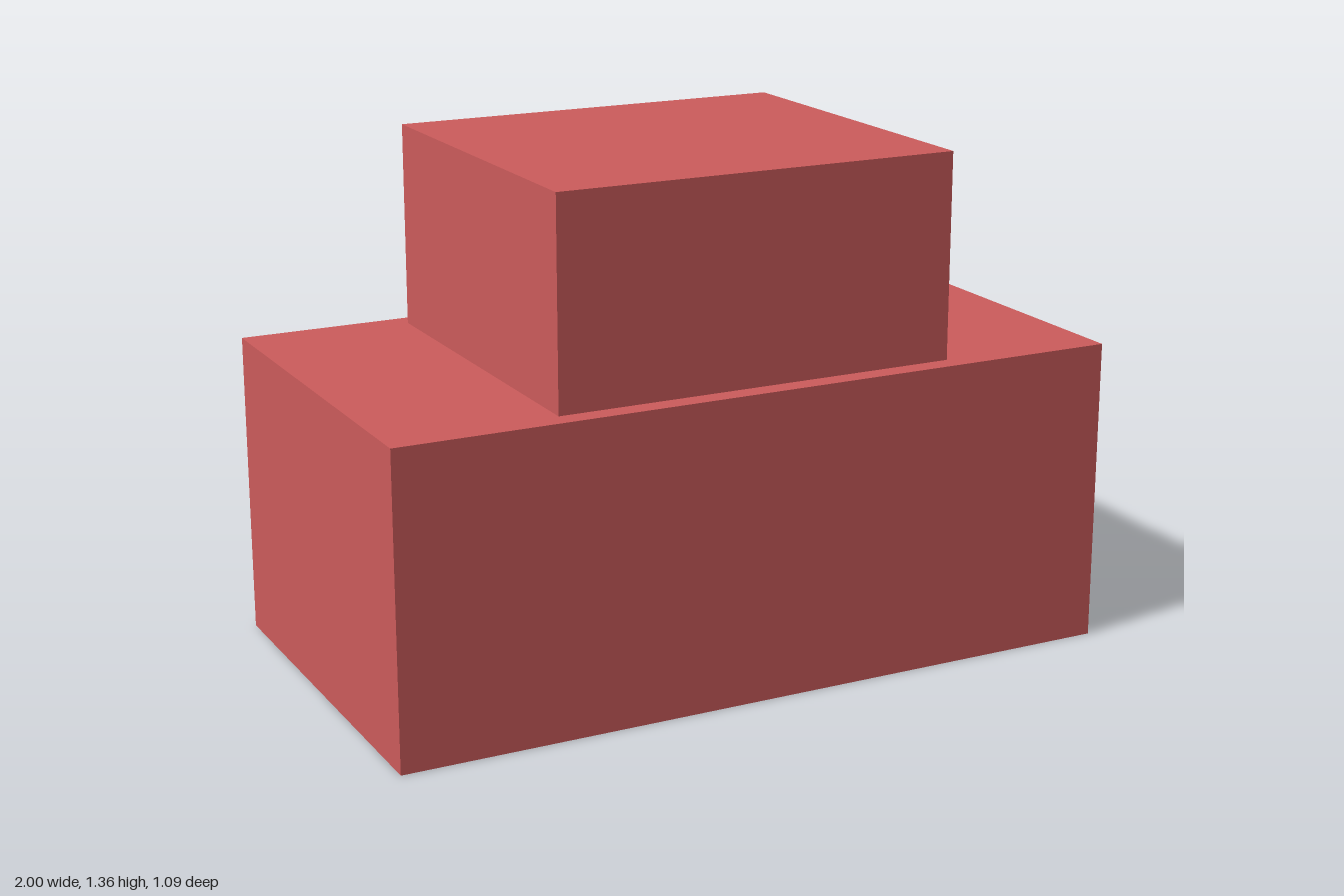
import * as THREE from 'three';

export function createModel() {
  const model = new THREE.Group();
  const red = new THREE.MeshStandardMaterial({ color: 0xcd5c5c });

  // Adds a box whose underside sits at height y
  const addBox = (name, width, height, depth, y) => {
    const mesh = new THREE.Mesh(new THREE.BoxGeometry(width, height, depth), red);
    mesh.name = name;
    mesh.position.y = y + height / 2;
    model.add(mesh);
  };

  // Long lower body
  addBox('lowerBody', 2, 0.818, 1.09, 0);
  // Smaller cabin centred on top
  addBox('upperCabin', 1.1, 0.546, 0.98, 0.818);

  return model;
}
